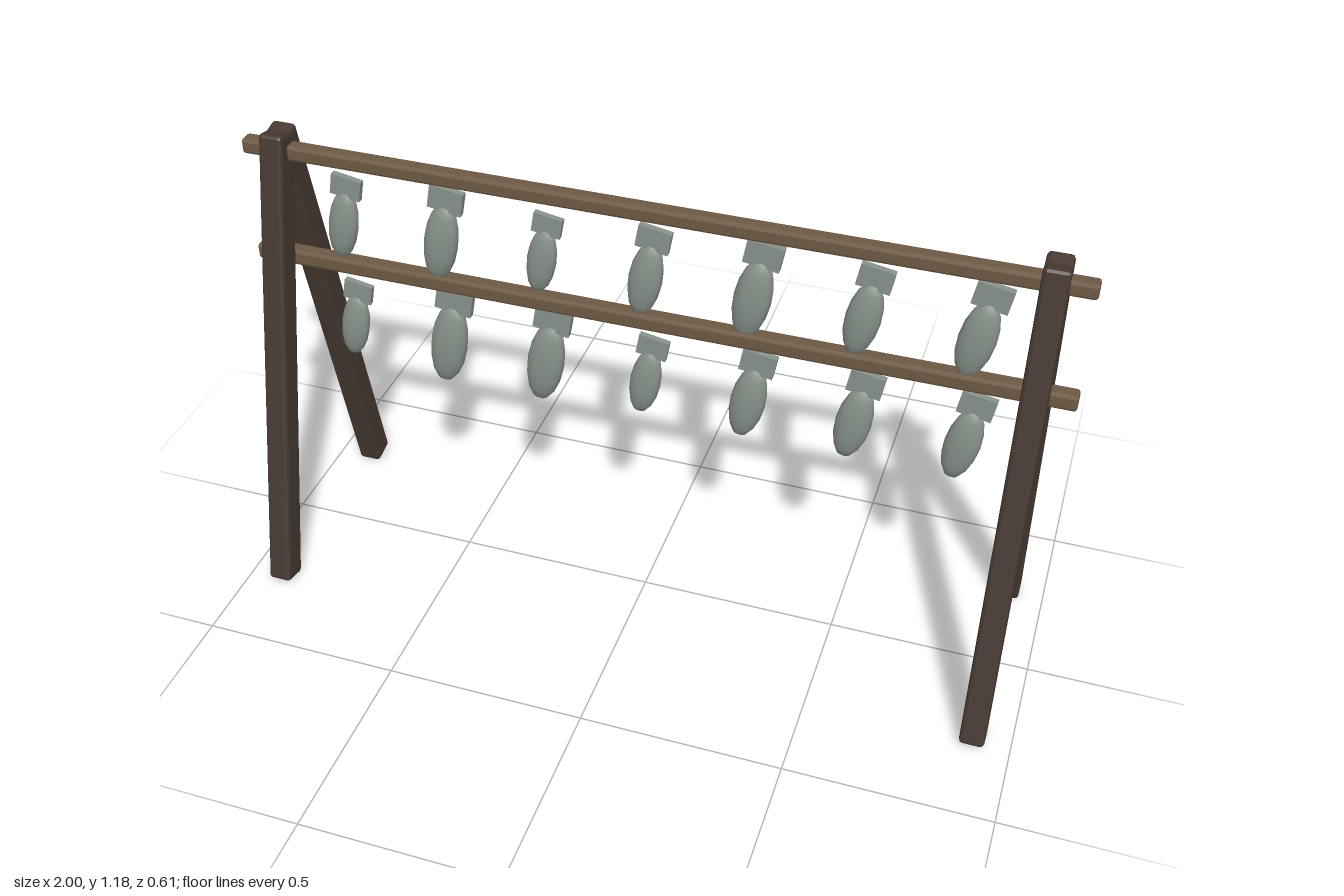
import * as THREE from 'three';
import { RoundedBoxGeometry } from 'three/addons/geometries/RoundedBoxGeometry.js';

const darkWood = new THREE.MeshStandardMaterial({ color: 0x463931 });
darkWood.name = 'dark wood';
const poleWood = new THREE.MeshStandardMaterial({ color: 0x6e5944 });
poleWood.name = 'pole wood';
const fishSkin = new THREE.MeshStandardMaterial({ color: 0x87928a });
fishSkin.name = 'fish skin';

// Box with flat chamfered edges
function beam(name, w, h, d, chamfer, material) {
  const geometry = new RoundedBoxGeometry(w, h, d, 1, chamfer);
  geometry.computeVertexNormals();
  const mesh = new THREE.Mesh(geometry, material);
  mesh.name = name;
  return mesh;
}

const bodyGeometry = new THREE.SphereGeometry(0.5, 12, 8);
const tailGeometry = new THREE.BoxGeometry(0.39, 0.28, 0.08);

// Hanging fish: flattened body with a flat tail on top, scaled by body length
function fish(length) {
  const group = new THREE.Group();
  group.name = 'fish';
  const body = new THREE.Mesh(bodyGeometry, fishSkin);
  body.name = 'fishBody';
  body.scale.set(0.4, 1, 0.24);
  const tail = new THREE.Mesh(tailGeometry, fishSkin);
  tail.name = 'fishTail';
  tail.position.y = 0.56;
  group.add(body, tail);
  group.scale.setScalar(length);
  group.rotation.z = -0.18;
  return group;
}

export function createModel() {
  const model = new THREE.Group();
  model.name = 'fishDryingRack';

  // Two A-frames of crossed legs
  for (const sx of [-1, 1]) {
    for (const sz of [-1, 1]) {
      const leg = beam('leg', 0.06, 1.204, 0.068, 0.009, darkWood);
      leg.position.set(sx * 0.909, 0.597, sz * 0.139);
      leg.rotation.x = -sz * 0.2243;
      model.add(leg);
    }
  }

  // Each row: a crossbar and the fish hanging beneath it
  const rows = [
    { y: 1.137, size: 0.038, lengths: [0.195, 0.218, 0.182, 0.204, 0.222, 0.204, 0.213] },
    { y: 0.845, size: 0.04, lengths: [0.187, 0.24, 0.236, 0.191, 0.213, 0.213, 0.209] },
  ];
  for (const { y, size, lengths } of rows) {
    const bar = beam('crossbar', 2, size, size, 0.007, poleWood);
    bar.position.y = y;
    model.add(bar);
    lengths.forEach((length, i) => {
      const item = fish(length);
      item.position.set((i - 3) * 0.2545, y - 0.18, 0);
      model.add(item);
    });
  }
  return model;
}
